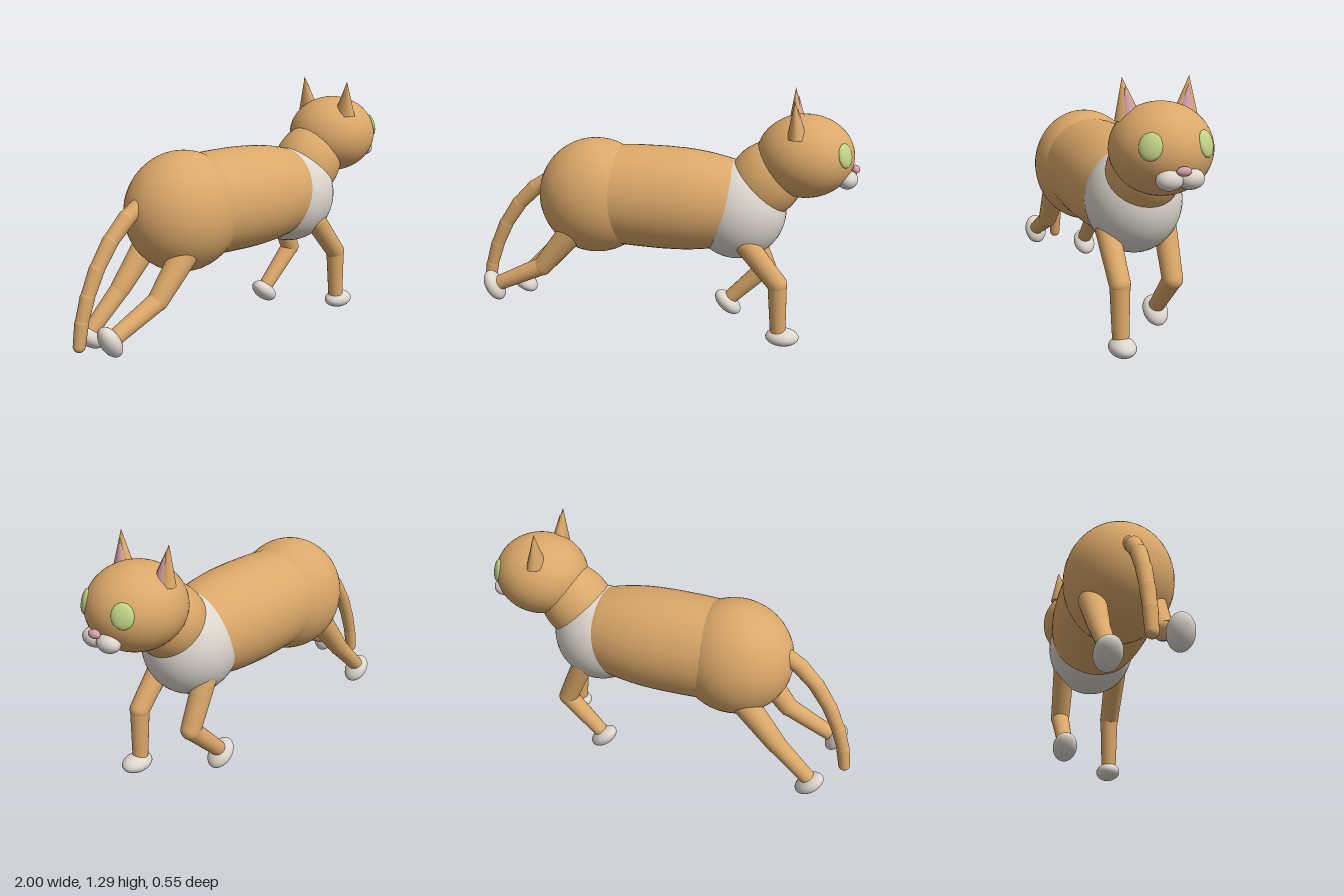
import * as THREE from 'three';

const material = (name, color) => {
  const m = new THREE.MeshStandardMaterial({ color });
  m.name = name;
  return m;
};

export function createModel() {
  const fur = material('tan fur', 0xdba869);
  const white = material('white fur', 0xddd6cd);
  const green = material('green eye', 0xc3d587);
  const pink = material('pink skin', 0xd3a0a8);
  const cat = new THREE.Group();
  cat.name = 'cat';

  const add = (name, geometry, mat, parent = cat) => {
    const mesh = new THREE.Mesh(geometry, mat);
    mesh.name = name;
    parent.add(mesh);
    return mesh;
  };

  const ellipsoid = (name, mat, center, radii, tilt = 0, parent = cat) => {
    const mesh = add(name, new THREE.SphereGeometry(1, 40, 28), mat, parent);
    mesh.position.set(...center);
    mesh.scale.set(...radii);
    mesh.rotation.z = tilt;
    return mesh;
  };

  // Tapered capsule between two points
  const limb = (name, a, b, ra, rb, parent = cat) => {
    const from = new THREE.Vector3(...a), to = new THREE.Vector3(...b);
    const axis = to.clone().sub(from), length = axis.length();
    const profile = [];
    for (let i = 0; i <= 8; i++) {
      const t = -Math.PI / 2 + (i / 8) * Math.PI / 2;
      profile.push(new THREE.Vector2(Math.max(0, ra * Math.cos(t)), ra * Math.sin(t)));
    }
    for (let i = 0; i <= 8; i++) {
      const t = (i / 8) * Math.PI / 2;
      profile.push(new THREE.Vector2(Math.max(0, rb * Math.cos(t)), length + rb * Math.sin(t)));
    }
    const mesh = add(name, new THREE.LatheGeometry(profile, 24), fur, parent);
    mesh.position.copy(from);
    mesh.quaternion.setFromUnitVectors(new THREE.Vector3(0, 1, 0), axis.normalize());
    return mesh;
  };

  // Body
  ellipsoid('rump', fur, [-0.345, 0.726, 0], [0.302, 0.304, 0.275]);
  const torsoProfile = [
    [0, -0.45], [0.15, -0.43], [0.235, -0.35], [0.255, -0.2], [0.26, -0.05], [0.26, 0.05],
    [0.254, 0.17], [0.235, 0.3], [0.205, 0.4], [0.13, 0.48], [0, 0.51],
  ].map(([r, h]) => new THREE.Vector2(r, h));
  const curve = new THREE.SplineCurve(torsoProfile).getPoints(50);
  curve.forEach((p) => { p.x = Math.max(0, p.x); });
  const torsoGeometry = new THREE.LatheGeometry(curve, 48);
  torsoGeometry.rotateZ(-Math.PI / 2);
  torsoGeometry.scale(1, 1.03, 1);
  const torso = add('torso', torsoGeometry, fur);
  torso.position.y = 0.732;
  torso.rotation.z = -0.028;
  ellipsoid('chest', white, [0.4, 0.69, 0], [0.25, 0.26, 0.235]);
  ellipsoid('neck', fur, [0.535, 0.85, 0], [0.185, 0.22, 0.178], -0.67);

  // Head and face
  const head = new THREE.Group();
  head.name = 'head';
  cat.add(head);
  ellipsoid('skull', fur, [0.728, 0.988, 0], [0.243, 0.208, 0.232], 0, head);
  ellipsoid('nose', pink, [0.978, 0.93, 0], [0.022, 0.021, 0.034], 0, head);

  // Leaning oval cone from a base centre to a tip
  const earCone = (name, mat, base, tip, rx, rz) => {
    const height = tip[1] - base[1];
    const geometry = new THREE.ConeGeometry(1, height, 32);
    geometry.translate(0, height / 2, 0);
    geometry.scale(rx, 1, rz);
    const p = geometry.attributes.position;
    for (let i = 0; i < p.count; i++) {
      const t = p.getY(i) / height;
      p.setX(i, p.getX(i) + t * (tip[0] - base[0]));
      p.setZ(i, p.getZ(i) + t * (tip[2] - base[2]));
    }
    geometry.computeVertexNormals();
    add(name, geometry, mat, head).position.set(...base);
  };

  for (const [side, s] of [['left', -1], ['right', 1]]) {
    const eye = ellipsoid(`${side}Eye`, green, [0.916, 1.03, 0.126 * s], [0.052, 0.06, 0.02], 0, head);
    eye.quaternion.setFromUnitVectors(new THREE.Vector3(0, 0, 1),
      new THREE.Vector3(3.35, 1, 2.32 * s).normalize());
    eye.up.set(0, 1, 0);
    eye.lookAt(eye.position.clone().add(new THREE.Vector3(3.35, 1, 2.32 * s)));
    ellipsoid(`${side}Muzzle`, white, [0.94, 0.888, 0.049 * s], [0.05, 0.046, 0.061], 0.3, head);
    earCone(`${side}Ear`, fur, [0.68, 1.11, 0.133 * s], [0.664, 1.298, 0.16 * s], 0.045, 0.066);
    earCone(`${side}InnerEar`, pink, [0.696, 1.13, 0.133 * s], [0.68, 1.262, 0.151 * s], 0.027, 0.039);
  }

  // Legs: upper joint, middle joint, ankle, paw centre, paw tilt
  const legs = [
    ['frontRightLeg', 0.15, [0.455, 0.555], [0.623, 0.345], [0.637, 0.08], [0.66, 0.05], 0, 0.058],
    ['frontLeftLeg', -0.145, [0.45, 0.56], [0.555, 0.315], [0.37, 0.125], [0.35, 0.088], -0.72, 0.058],
    ['hindRightLeg', 0.145, [-0.455, 0.555], [-0.615, 0.36], [-0.865, 0.242], [-0.89, 0.228], -1.12, 0.068],
    ['hindLeftLeg', -0.15, [-0.455, 0.555], [-0.63, 0.345], [-0.815, 0.165], [-0.822, 0.135], -0.72, 0.068],
  ];
  for (const [name, z, top, joint, ankle, paw, tilt, radius] of legs) {
    const leg = new THREE.Group();
    leg.name = name;
    cat.add(leg);
    limb('upperLeg', [...top, z], [...joint, z], radius, 0.051, leg);
    limb('lowerLeg', [...joint, z], [...ankle, z], 0.049, 0.04, leg);
    ellipsoid('paw', white, [...paw, z], [0.086, 0.046, 0.064], tilt, leg);
  }

  // Tail of overlapping tapered segments
  const tail = new THREE.Group();
  tail.name = 'tail';
  cat.add(tail);
  const path = [[-0.58, 0.81], [-0.68, 0.75], [-0.775, 0.655], [-0.855, 0.535],
    [-0.912, 0.41], [-0.95, 0.29], [-0.969, 0.18]];
  for (let i = 0; i < path.length - 1; i++) {
    const r = 0.044 - i * 0.002;
    limb('tailSegment', [...path[i], 0], [...path[i + 1], 0], r, r - 0.004, tail);
  }
  return cat;
}
